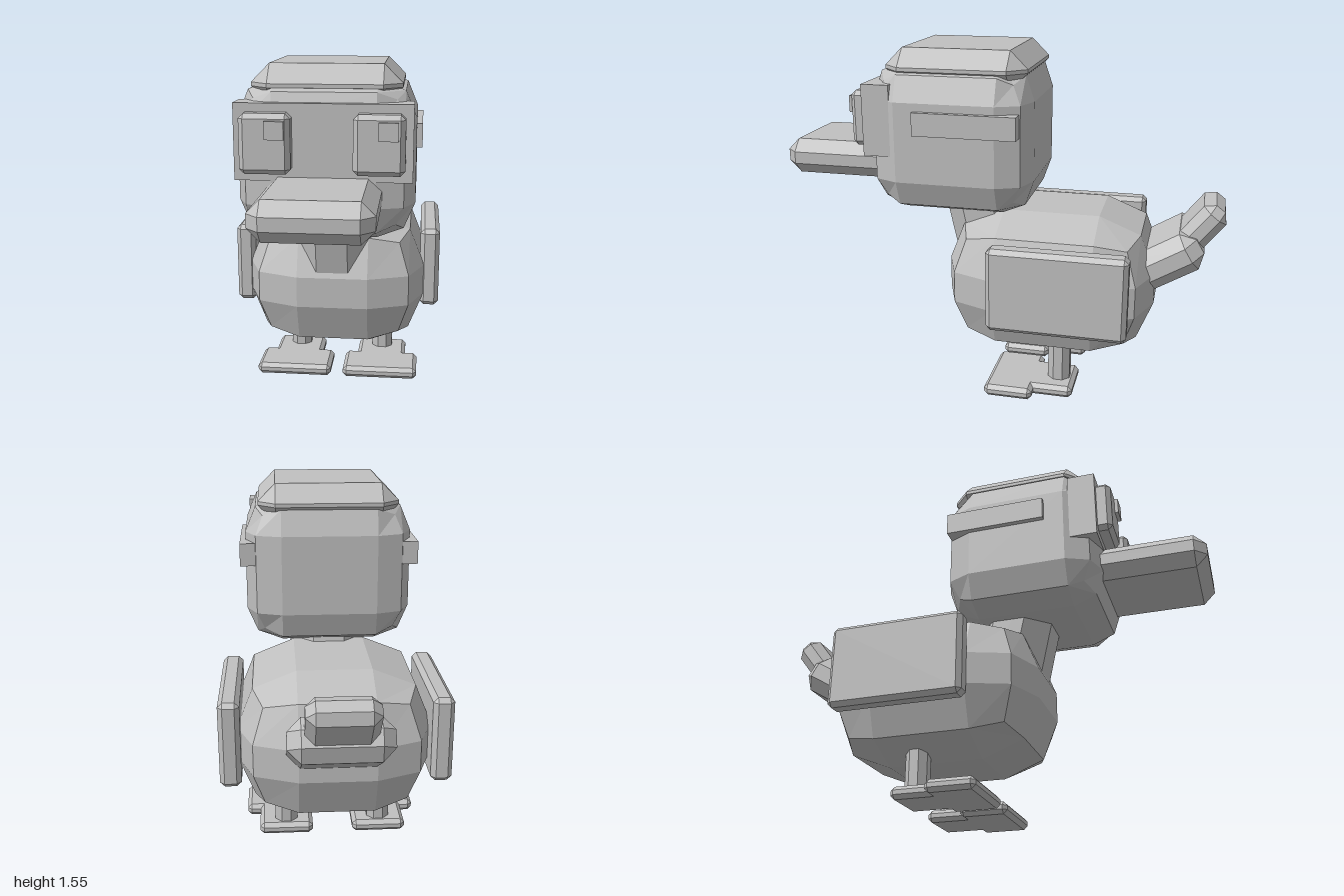
import * as THREE from 'three';
import { ConvexGeometry } from 'three/addons/geometries/ConvexGeometry.js';

const grey = new THREE.MeshStandardMaterial({ color: 0xc0c0c0 });
grey.name = 'plain grey';

function add(parent, name, geometry, x, y, z, tilt = 0) {
  const mesh = new THREE.Mesh(geometry, grey);
  mesh.name = name;
  mesh.position.set(x, y, z);
  mesh.rotation.x = tilt;
  parent.add(mesh);
  return mesh;
}

// Box with every edge cut by a flat chamfer
function chamferBox(w, h, d, c) {
  const points = [];
  for (const sx of [-1, 1]) for (const sy of [-1, 1]) for (const sz of [-1, 1]) {
    for (let full = 0; full < 3; full++) {
      const p = [w / 2, h / 2, d / 2].map((s, i) => (i === full ? s : s - c));
      points.push(new THREE.Vector3(p[0] * sx, p[1] * sy, p[2] * sz));
    }
  }
  return new ConvexGeometry(points);
}

// Faceted rounded block: a 3x3x3 box whose edges and corners are pulled in.
// Each argument holds half sizes along x, y, z.
function facetedBlock(full, inner, edge, corner) {
  const g = new THREE.BoxGeometry(2, 2, 2, 3, 3, 3).toNonIndexed();
  const pos = g.attributes.position;
  for (let i = 0; i < pos.count; i++) {
    const p = [pos.getX(i), pos.getY(i), pos.getZ(i)];
    const extremes = p.filter(v => Math.abs(v) > 0.9).length;
    const outer = [full, full, edge, corner][extremes];
    const q = p.map((v, a) => Math.sign(v) * (Math.abs(v) > 0.9 ? outer[a] : inner[a]));
    pos.setXYZ(i, q[0], q[1], q[2]);
  }
  g.computeVertexNormals();
  return g;
}

// Straight-sided cylinder with flat facets
function prism(radius, height, sides) {
  const g = new THREE.CylinderGeometry(radius, radius, height, sides).toNonIndexed();
  g.rotateY(Math.PI / sides);
  g.computeVertexNormals();
  return g;
}

export function createModel() {
  const model = new THREE.Group();
  model.name = 'bird';

  // Body and neck
  add(model, 'body', facetedBlock(
    [0.415, 0.32, 0.47], [0.16, 0.07, 0.215], [0.345, 0.245, 0.40], [0.30, 0.215, 0.355]
  ), 0, 0.51, -0.24);
  add(model, 'neck', prism(0.185, 0.46, 8), 0, 0.78, 0.085, 0.22);

  // Head with flat cap
  const head = new THREE.Group();
  head.name = 'head';
  model.add(head);
  add(head, 'skull', facetedBlock(
    [0.368, 0.328, 0.36], [0.21, 0.175, 0.22], [0.322, 0.285, 0.322], [0.29, 0.255, 0.285]
  ), 0, 1.16, 0.19);
  add(head, 'cap', chamferBox(0.62, 0.17, 0.63, 0.077), 0, 1.465, 0.17);
  add(head, 'facePlate', new THREE.BoxGeometry(0.715, 0.31, 0.123), 0, 1.25, 0.493);
  add(head, 'beak', chamferBox(0.47, 0.16, 0.55, 0.053), 0, 1.03, 0.725);

  // Paired head details; both pupils look the same way
  for (const side of [-1, 1]) {
    add(head, 'eye', chamferBox(0.205, 0.24, 0.09, 0.02), side * 0.225, 1.25, 0.573);
    add(head, 'pupil', new THREE.BoxGeometry(0.077, 0.072, 0.05),
      side * 0.222 + 0.04, 1.307, 0.609);
    add(head, 'sideBar', new THREE.BoxGeometry(0.1, 0.1, 0.45), side * 0.342, 1.25, 0.097);
  }

  // Wings, legs and feet
  for (const side of [-1, 1]) {
    add(model, 'wing', chamferBox(0.09, 0.375, 0.605, 0.02), side * 0.44, 0.565, -0.317);
    add(model, 'leg', prism(0.054, 0.24, 8), side * 0.21, 0.15, -0.30);
    add(model, 'toes', chamferBox(0.36, 0.055, 0.22, 0.018), side * 0.21, 0.0285, -0.09);
    add(model, 'heel', chamferBox(0.24, 0.055, 0.24, 0.018), side * 0.21, 0.0285, -0.255);
  }

  // Two-part upturned tail
  add(model, 'tailBase', chamferBox(0.42, 0.18, 0.40, 0.055), 0, 0.62, -0.725, 0.54);
  add(model, 'tailTip', chamferBox(0.285, 0.125, 0.30, 0.038), 0, 0.765, -0.88, 0.91);

  return model;
}
